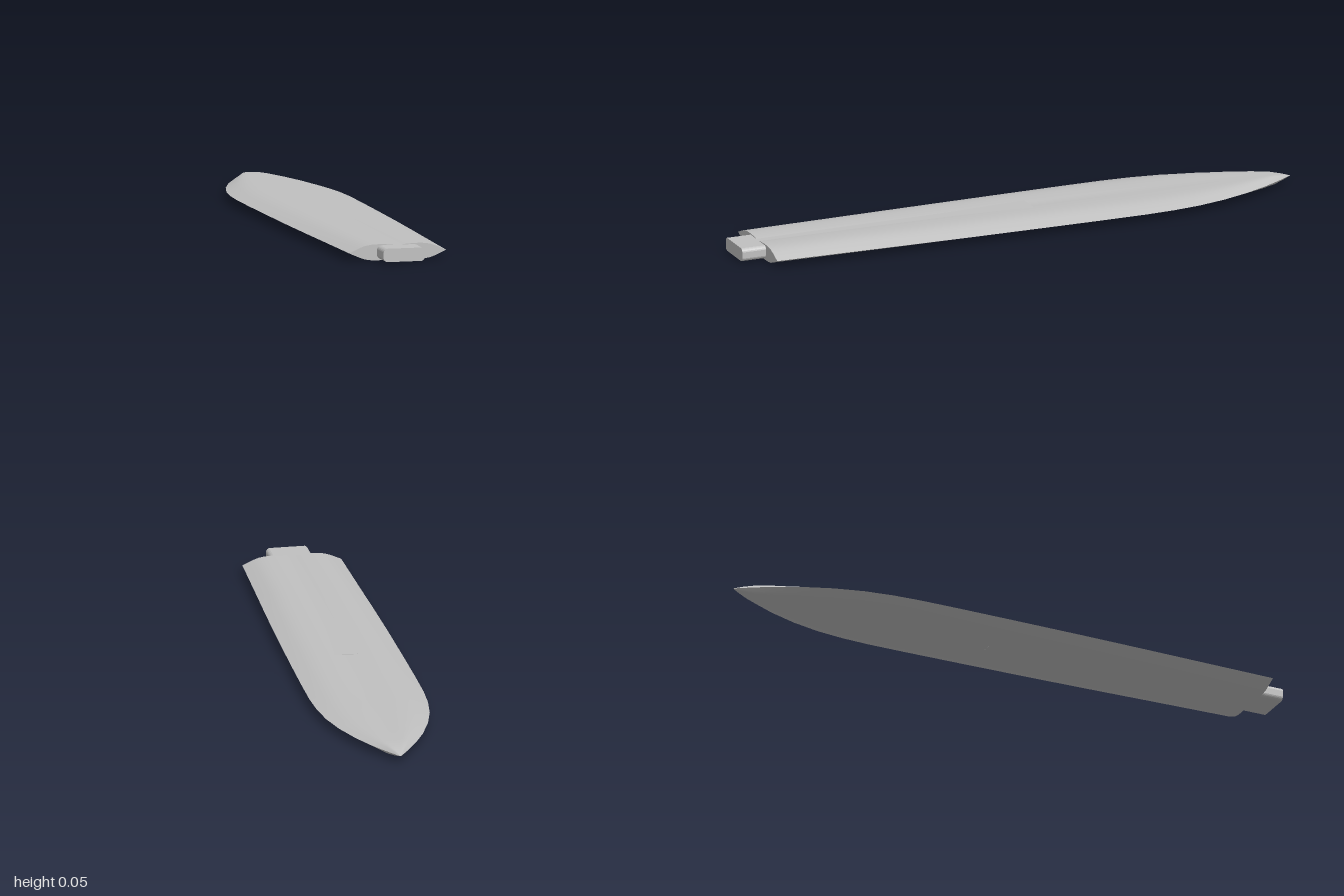
import * as THREE from 'three';

const MID = 0.027; // height of the cutting edges

// Blade stations: z, half width, half thickness, fuller height (fraction of thickness)
const STATIONS = [
  [0.915, 0.167, 0.027, 0.84], [0.6, 0.176, 0.026, 0.87], [0.44, 0.181, 0.0255, 0.88],
  [0.2, 0.187, 0.0247, 0.885], [-0.06, 0.191, 0.0238, 0.89], [-0.25, 0.193, 0.0225, 0.91],
  [-0.4, 0.193, 0.0215, 0.92], [-0.5, 0.188, 0.021, 0.93], [-0.6, 0.175, 0.0205, 0.95],
  [-0.7, 0.15, 0.0195, 0.96], [-0.8, 0.113, 0.0185, 0.98], [-0.88, 0.074, 0.0175, 1],
  [-0.93, 0.045, 0.0155, 1], [-0.97, 0.02, 0.008, 1], [-1, 0, 0, 1],
];

// Half cross-section: position across, rise out of the fuller, bevel height
const HALF = [
  [0, 0, 1], [0.09, 0.1, 1], [0.12, 0.4, 1], [0.2, 0.65, 1], [0.3, 0.9, 1], [0.43, 1, 1],
  [0.55, 1, 0.96], [0.67, 1, 0.84], [0.78, 1, 0.6], [0.9, 1, 0.28], [1, 1, 0],
];
const PROFILE = [
  ...HALF.slice(1).reverse().map(([u, g, b]) => [-u, g, b]),
  ...HALF,
];

const sectionPoint = ([, w, t, f], [u, g, b], side) =>
  [u * w, MID + side * t * b * (f + (1 - f) * g)];

// One smooth face of the blade: side +1 is the upper face, -1 the lower
function bladeFace(side) {
  const positions = [], index = [], n = PROFILE.length;
  STATIONS.forEach((s, i) => {
    PROFILE.forEach((p, j) => {
      positions.push(...sectionPoint(s, p, side), s[0]);
      if (i === STATIONS.length - 1 || j === n - 1) return;
      const a = i * n + j, b = a + 1, c = a + n, d = c + 1;
      if (side > 0) index.push(a, b, c, b, d, c);
      else index.push(a, c, b, b, c, d);
    });
  });
  const geo = new THREE.BufferGeometry();
  geo.setAttribute('position', new THREE.Float32BufferAttribute(positions, 3));
  geo.setIndex(index);
  geo.computeVertexNormals();
  return geo;
}

// Flat end of the blade around the tang
function bladeEnd() {
  const s = STATIONS[0];
  const lower = PROFILE.map((p) => sectionPoint(s, p, -1));
  const upper = PROFILE.slice(1, -1).reverse().map((p) => sectionPoint(s, p, 1));
  const shape = new THREE.Shape([...lower, ...upper].map(([x, y]) => new THREE.Vector2(x, y)));
  return new THREE.ShapeGeometry(shape).translate(0, 0, s[0]);
}

// Flat bar with rounded sides, running on inside the blade and showing in the fuller
function tangBar() {
  const w = 0.071, h = 0.0225, rx = 0.011, ry = 0.012;
  const shape = new THREE.Shape();
  shape.moveTo(-w + rx, -h);
  shape.lineTo(w - rx, -h);
  shape.quadraticCurveTo(w - 0.002, -h + 0.003, w, -h + ry);
  shape.lineTo(w, h - ry);
  shape.quadraticCurveTo(w - 0.002, h - 0.003, w - rx, h);
  shape.lineTo(-w + rx, h);
  shape.quadraticCurveTo(-w + 0.002, h - 0.003, -w, h - ry);
  shape.lineTo(-w, -h + ry);
  shape.quadraticCurveTo(-w + 0.002, -h + 0.003, -w + rx, -h);
  const geo = new THREE.ExtrudeGeometry(shape, { depth: 1.06, bevelEnabled: false, curveSegments: 4 });
  return geo.translate(0, MID + 0.0005, -0.06);
}

export function createModel() {
  const steel = new THREE.MeshStandardMaterial({ color: 0xc0c0c0 });
  steel.name = 'steel';
  const model = new THREE.Group();
  model.name = 'blade';
  const add = (name, geo) => {
    const mesh = new THREE.Mesh(geo, steel);
    mesh.name = name;
    model.add(mesh);
  };
  add('upperBladeFace', bladeFace(1));
  add('lowerBladeFace', bladeFace(-1));
  add('bladeEnd', bladeEnd());
  add('tang', tangBar());
  return model;
}
